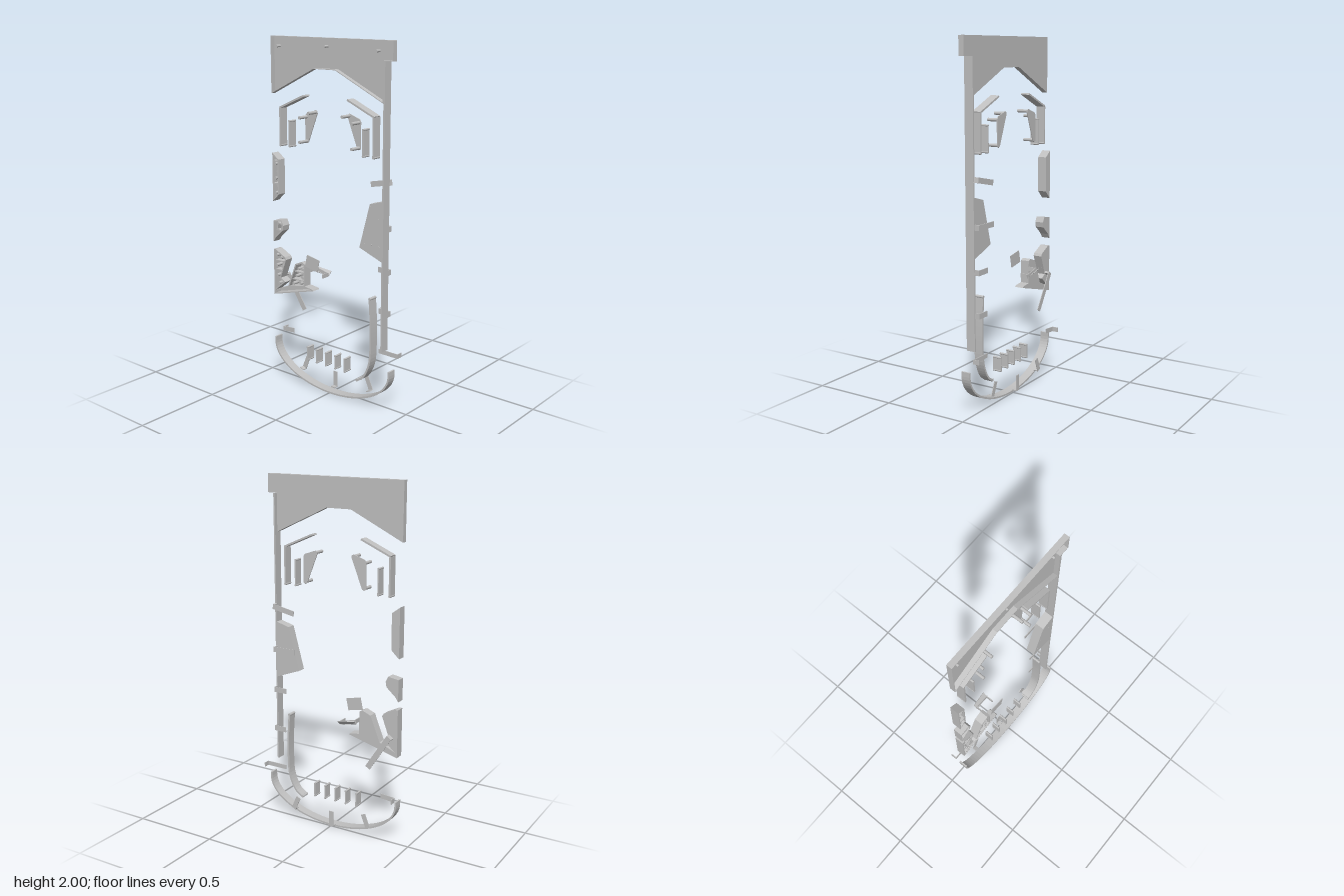
import * as THREE from 'three';

const B = 0.006, F = 0.058; // back and front of the main layer

export function createModel() {
  const root = new THREE.Group();
  const grey = new THREE.MeshStandardMaterial({ color: 0xc0c0c0 });
  const V = (p) => new THREE.Vector2(p[0], p[1]);

  const add = (name, geo) => {
    const m = new THREE.Mesh(geo, grey);
    m.name = name;
    root.add(m);
    return m;
  };

  // flat outline extruded from z0 to z1, with an optional hole
  const slab = (name, pts, z0, z1, hole) => {
    const s = new THREE.Shape(pts.map(V));
    if (hole) s.holes.push(new THREE.Path(hole.map(V)));
    const g = new THREE.ExtrudeGeometry(s, { depth: z1 - z0, bevelEnabled: false });
    return add(name, g.translate(0, 0, z0));
  };

  // shrink a polygon by d
  const inset = (pts, d) => {
    const s = THREE.ShapeUtils.isClockWise(pts.map(V)) ? -1 : 1;
    const n = pts.length;
    return pts.map((p, i) => {
      const a = V(p).sub(V(pts[(i + n - 1) % n])).normalize();
      const b = V(pts[(i + 1) % n]).sub(V(p)).normalize();
      const na = new THREE.Vector2(-a.y, a.x), nb = new THREE.Vector2(-b.y, b.x);
      const k = (s * d) / Math.max(0.25, 1 + na.dot(nb));
      return [p[0] + (na.x + nb.x) * k, p[1] + (na.y + nb.y) * k];
    });
  };

  // strip of width w standing along a path
  const strip = (name, path, w, z0 = B, z1 = F) => {
    const n = path.length, left = [], right = [];
    path.forEach((p, i) => {
      const t = V(path[Math.min(i + 1, n - 1)]).sub(V(path[Math.max(i - 1, 0)])).normalize();
      left.push([p[0] - t.y * w / 2, p[1] + t.x * w / 2]);
      right.unshift([p[0] + t.y * w / 2, p[1] - t.x * w / 2]);
    });
    return slab(name, left.concat(right), z0, z1);
  };

  const box = (name, x0, x1, y0, y1, z0, z1) =>
    slab(name, [[x0, y0], [x1, y0], [x1, y1], [x0, y1]], z0, z1);

  const post = (name, x, y, r, z0 = B, z1 = F) => {
    const g = new THREE.CylinderGeometry(r, r, z1 - z0, 12).rotateX(Math.PI / 2);
    return add(name, g.translate(x, y, (z0 + z1) / 2));
  };

  // tray open to the front: thin floor and rim
  const tray = (name, pts, z0, w) => {
    slab(name + 'Floor', pts, z0, z0 + 0.004);
    slab(name + 'Rim', pts, z0 + 0.004, F, inset(pts, w));
  };

  // top arch
  tray('topArch', [[-0.415, 1.685], [-0.105, 1.835], [0.045, 1.835], [0.363, 1.685],
    [0.363, 1.897], [0.42, 1.897], [0.42, 2], [-0.415, 2]], 0.027, 0.004);
  for (const [x, y] of [[-0.37, 1.945], [-0.027, 1.955], [0.315, 1.945]])
    post('archPeg', x, y, 0.007, 0.03, F);

  // long side rail
  box('sideRail', 0.363, 0.372, 0.347, 1.897, B, F);

  // curved bottom apron rail
  const arc = [];
  for (let i = 0; i <= 40; i++) {
    const a = Math.PI + (Math.PI * i) / 40;
    arc.push([0.003 + 0.416 * Math.cos(a), 0.22 + 0.214 * Math.sin(a)]);
  }
  strip('bottomRail', [[-0.413, 0.245], ...arc, [0.419, 0.245]], 0.01);

  // curved lane guide
  const lane = new THREE.SplineCurve([[0.286, 0.625], [0.294, 0.5], [0.295, 0.37], [0.287, 0.26],
    [0.25, 0.175], [0.2, 0.135]].map(V)).getPoints(24).map((p) => [p.x, p.y]);
  strip('laneGuide', lane, 0.011);
  post('laneGuideEnd', 0.286, 0.63, 0.008);
  post('laneGuideEnd', 0.2, 0.137, 0.008);

  // short lane dividers
  const divider = (x, y0, y1) => {
    box('laneDivider', x - 0.004, x + 0.004, y0, y1, B, F);
    for (const y of [y0, y1]) post('dividerEnd', x, y, 0.006);
  };
  for (let i = 0; i < 5; i++) divider(-0.163 + i * 0.069, 0.163, 0.238);

  // mirrored upper guides and triangular kickers about the playfield centre
  for (const s of [-1, 1]) {
    const X = (x) => -0.026 + s * x;
    divider(X(0.259), 1.4, 1.54);
    box('upperGuide', X(0.327) - 0.005, X(0.327) + 0.005, 1.4, 1.61, B, F);
    post('upperGuideEnd', X(0.327), 1.4, 0.007);
    strip('upperGuideSlope', [[X(0.33), 1.61], [X(0.153), 1.687]], 0.01);
    slab('kickerPlate', [[X(0.195), 1.57], [X(0.187), 1.583], [X(0.118), 1.607], [X(0.108), 1.6],
      [X(0.107), 1.588], [X(0.172), 1.425], [X(0.183), 1.418], [X(0.195), 1.425]], -0.01, -0.005);
    for (const [x, y] of [[0.184, 1.565], [0.118, 1.595], [0.184, 1.43]])
      post('kickerPost', X(x), y, 0.009, -0.006, F);
  }

  // right side deck with pins
  slab('sideDeck', [[0.215, 0.907], [0.368, 0.85], [0.368, 1.178], [0.283, 1.155]], B, F);
  for (const [x, y] of [[0.29, 1.14], [0.345, 1.155], [0.285, 1.075], [0.34, 1.08], [0.275, 1.01],
    [0.335, 1.01], [0.25, 0.93], [0.295, 0.935], [0.345, 0.93]])
    post('deckPin', x, y, 0.005, F - 0.01, F + 0.001);

  // left target bank
  tray('targetBank', [[-0.417, 1.07], [-0.37, 1.115], [-0.37, 1.315], [-0.417, 1.35]], B, 0.007);
  for (const y of [1.175, 1.305]) box('bankWall', -0.413, -0.373, y - 0.004, y + 0.004, B, F);
  for (let i = 0; i < 5; i++)
    post('bankPin', i % 2 ? -0.385 : -0.402, 1.12 + i * 0.042, 0.008, B, 0.05);

  // small left pocket
  tray('sidePocket', [[-0.417, 0.83], [-0.402, 0.855], [-0.345, 0.905], [-0.34, 0.935],
    [-0.355, 0.965], [-0.417, 0.955]], B, 0.006);
  slab('pocketBlock', [[-0.4, 0.9], [-0.36, 0.895], [-0.35, 0.94], [-0.39, 0.95]], B, 0.05,
    [[-0.392, 0.908], [-0.367, 0.904], [-0.36, 0.934], [-0.384, 0.941]]);

  // large lower left deck: two towers over a wedge
  tray('leftTower', [[-0.417, 0.53], [-0.33, 0.6], [-0.365, 0.62], [-0.322, 0.735], [-0.33, 0.75],
    [-0.4, 0.785], [-0.417, 0.785]], B, 0.008);
  tray('rightTower', [[-0.31, 0.575], [-0.18, 0.6], [-0.18, 0.735], [-0.2, 0.745],
    [-0.25, 0.725]], B, 0.008);
  tray('wedge', [[-0.417, 0.51], [-0.115, 0.59], [-0.12, 0.597], [-0.18, 0.605],
    [-0.31, 0.58], [-0.417, 0.535]], B, 0.006);
  for (const [x, y] of [[-0.4, 0.75], [-0.365, 0.74], [-0.4, 0.69], [-0.355, 0.69], [-0.395, 0.63],
    [-0.38, 0.585], [-0.23, 0.7], [-0.2, 0.7], [-0.245, 0.655], [-0.2, 0.65], [-0.27, 0.605], [-0.215, 0.615]])
    post('deckPost', x, y, 0.009, B, 0.054);
  for (const y of [0.66, 0.715]) box('towerRib', -0.41, -0.35, y, y + 0.006, B, 0.05);
  strip('towerRib', [[-0.28, 0.63], [-0.185, 0.63]], 0.006, B, 0.05);
  strip('towerRib', [[-0.26, 0.678], [-0.185, 0.678]], 0.006, B, 0.05);

  // thin flap on the front
  slab('frontFlap', [[-0.172, 0.727], [-0.08, 0.71], [-0.066, 0.78], [-0.157, 0.797]], 0.058, 0.0615);

  // gate: two legs and a sloping cover
  for (const [x, y] of [[-0.18, 0.69], [-0.09, 0.67]])
    strip('gateLeg', [[x, y - 0.012], [x, y + 0.012]], 0.005, -0.04, B);
  const cover = add('gateCover', new THREE.BoxGeometry(0.1, 0.004, 0.034));
  cover.position.set(-0.135, 0.68, -0.0505);
  cover.rotation.set(0.75, 0, -0.18);
  strip('gateBack', [[-0.184, 0.69], [-0.086, 0.668]], 0.022, -0.042, -0.038);

  // flat brackets behind, each with a foot joining the rails
  const bracket = (a, b, w = 0.03, foot = 0.25) => {
    strip('bracket', [a, b], w, -0.022, -0.018);
    if (!foot) return;
    const m = V(a).lerp(V(b), 1 - foot);
    strip('bracketFoot', [[m.x, m.y], b], w, -0.018, B);
  };
  bracket([0.23, 1.242], [0.368, 1.27], 0.03, 0.06);
  bracket([0.225, 1.02], [0.368, 1.02], 0.03, 0.06);
  bracket([0.285, 0.78], [0.368, 0.78], 0.03, 0.06);
  bracket([0.292, 0.545], [0.368, 0.545], 0.03, 0.06);
  bracket([0.295, 0.312], [0.424, 0.312], 0.025, 0);
  bracket([-0.335, 0.279], [-0.415, 0.272], 0.027, 0);
  box('bracketTab', 0.42, 0.424, 0.3, 0.325, -0.055, -0.018);
  strip('bracketTab', [[-0.42, 0.272], [-0.415, 0.272]], 0.027, -0.055, -0.018);
  bracket([-0.015, 0.105], [-0.015, 0.012], 0.028, 0.06);
  bracket([-0.225, 0.138], [-0.255, 0.062], 0.028, 0.06);
  bracket([0.21, 0.138], [0.243, 0.062], 0.028, 0.06);
  bracket([-0.25, 0.428], [-0.38, 0.63], 0.032, 0.05);

  return root;
}
